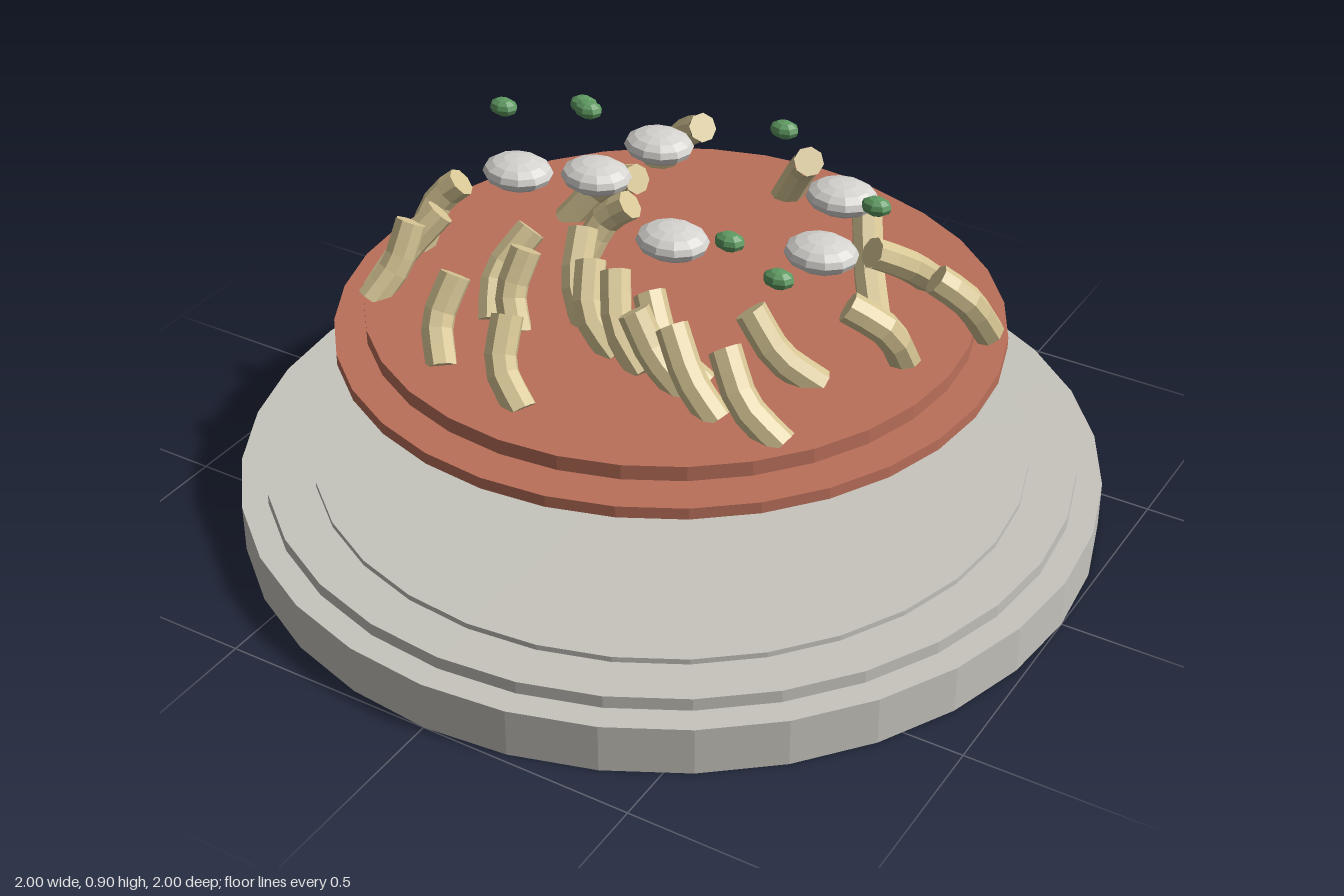
import * as THREE from 'three';

const mat = (name, color) => {
  const m = new THREE.MeshStandardMaterial({ color, flatShading: true });
  m.name = name;
  return m;
};

export function createModel() {
  const model = new THREE.Group();
  model.name = 'pastaDish';
  const grey = mat('stonewareGrey', 0xc6c4bd);
  const red = mat('sauceRed', 0xbb705a);
  const tan = mat('pastaTan', 0xd6c594);
  const white = mat('cheeseWhite', 0xd6d4d0);
  const green = mat('herbGreen', 0x5f9a62);

  const add = (parent, name, geometry, material) => {
    const mesh = new THREE.Mesh(geometry, material);
    mesh.name = name;
    parent.add(mesh);
    return mesh;
  };
  const group = (name) => {
    const g = new THREE.Group();
    g.name = name;
    model.add(g);
    return g;
  };

  // Stepped plate and the two sauce layers: radius, bottom, top
  const disc = (name, r, y0, y1, material) => {
    add(model, name, new THREE.CylinderGeometry(r, r, y1 - y0, 32), material).position.y = (y0 + y1) / 2;
  };
  disc('plateBase', 1, 0, 0.115, grey);
  disc('plateRim', 0.94, 0.115, 0.145, grey);
  disc('plateWell', 0.83, 0.145, 0.158, grey);
  disc('sauceLower', 0.76, 0.463, 0.49, red);
  disc('sauceUpper', 0.69, 0.508, 0.543, red);

  // Curved pasta: raised end, middle and buried end as x, z pairs
  const pasta = group('pasta');
  const R = 0.036, SIDES = 8;
  const cap = (point, outward) => {
    const c = add(pasta, 'pastaEnd', new THREE.CircleGeometry(R, SIDES), tan);
    c.position.copy(point);
    c.quaternion.setFromUnitVectors(new THREE.Vector3(0, 0, 1), outward);
  };
  const piece = (midY) => ([hx, hz, mx, mz, lx, lz]) => {
    const curve = new THREE.CatmullRomCurve3([
      new THREE.Vector3(hx, 0.69, hz),
      new THREE.Vector3(mx, midY, mz),
      new THREE.Vector3(lx, 0.53, lz),
    ]);
    add(pasta, 'pastaTube', new THREE.TubeGeometry(curve, 5, R, SIDES), tan);
    cap(curve.getPoint(0), curve.getTangent(0).negate());
    cap(curve.getPoint(1), curve.getTangent(1));
  };
  // Pieces arching over at the top
  [
    [-0.2, -0.48, -0.27, -0.52, -0.35, -0.51],
    [0.1, -0.46, 0.06, -0.51, 0, -0.53],
    [0.42, -0.16, 0.47, -0.23, 0.49, -0.36],
    [0.59, -0.13, 0.65, -0.16, 0.68, -0.23],
    [0.48, 0.07, 0.56, 0.04, 0.58, -0.02],
    [-0.2, -0.18, -0.3, -0.21, -0.39, -0.17],
    [-0.15, -0.07, -0.21, -0.06, -0.25, 0],
    [-0.54, 0.04, -0.59, 0.06, -0.61, 0.13],
  ].forEach(piece(0.64));
  // Pieces standing up with the open end on top
  [
    [0.33, -0.31, 0.38, -0.23, 0.44, -0.15],
    [-0.5, 0.18, -0.56, 0.25, -0.58, 0.33],
    [-0.53, 0.25, -0.54, 0.3, -0.57, 0.36],
    [-0.28, 0.14, -0.32, 0.22, -0.28, 0.3],
    [-0.24, 0.22, -0.25, 0.27, -0.21, 0.31],
    [-0.31, 0.39, -0.32, 0.45, -0.27, 0.51],
    [-0.12, 0.47, -0.1, 0.53, -0.03, 0.56],
    [-0.18, 0.08, -0.15, 0.16, -0.09, 0.21],
    [-0.09, 0.19, -0.05, 0.26, 0.03, 0.28],
    [-0.02, 0.2, 0.03, 0.27, 0.12, 0.31],
    [0.09, 0.24, 0.16, 0.29, 0.25, 0.28],
    [0.1, 0.32, 0.16, 0.33, 0.24, 0.33],
    [0.2, 0.33, 0.27, 0.37, 0.34, 0.38],
    [0.34, 0.35, 0.41, 0.39, 0.5, 0.39],
    [0.31, 0.19, 0.38, 0.19, 0.46, 0.15],
  ].forEach(piece(0.6));

  // Cheese and herbs: flattened spheres hovering above
  const scatter = (name, geometry, material, y, spots) => {
    const g = group(name + 's');
    spots.forEach(([x, z]) => add(g, name, geometry, material).position.set(x, y, z));
  };
  scatter('cheese', new THREE.SphereGeometry(1, 12, 8).scale(0.083, 0.036, 0.071), white, 0.795, [
    [-0.14, -0.18], [0.33, -0.18], [-0.185, 0.016], [-0.345, 0.09], [0.11, 0.177], [0.407, 0.06],
  ]);
  scatter('herb', new THREE.SphereGeometry(1, 8, 6).scale(0.035, 0.021, 0.026), green, 0.88, [
    [0.145, -0.25], [-0.305, -0.123], [-0.283, -0.107], [-0.455, -0.02], [0.481, -0.043], [0.289, 0.246], [0.449, 0.326],
  ]);

  return model;
}
